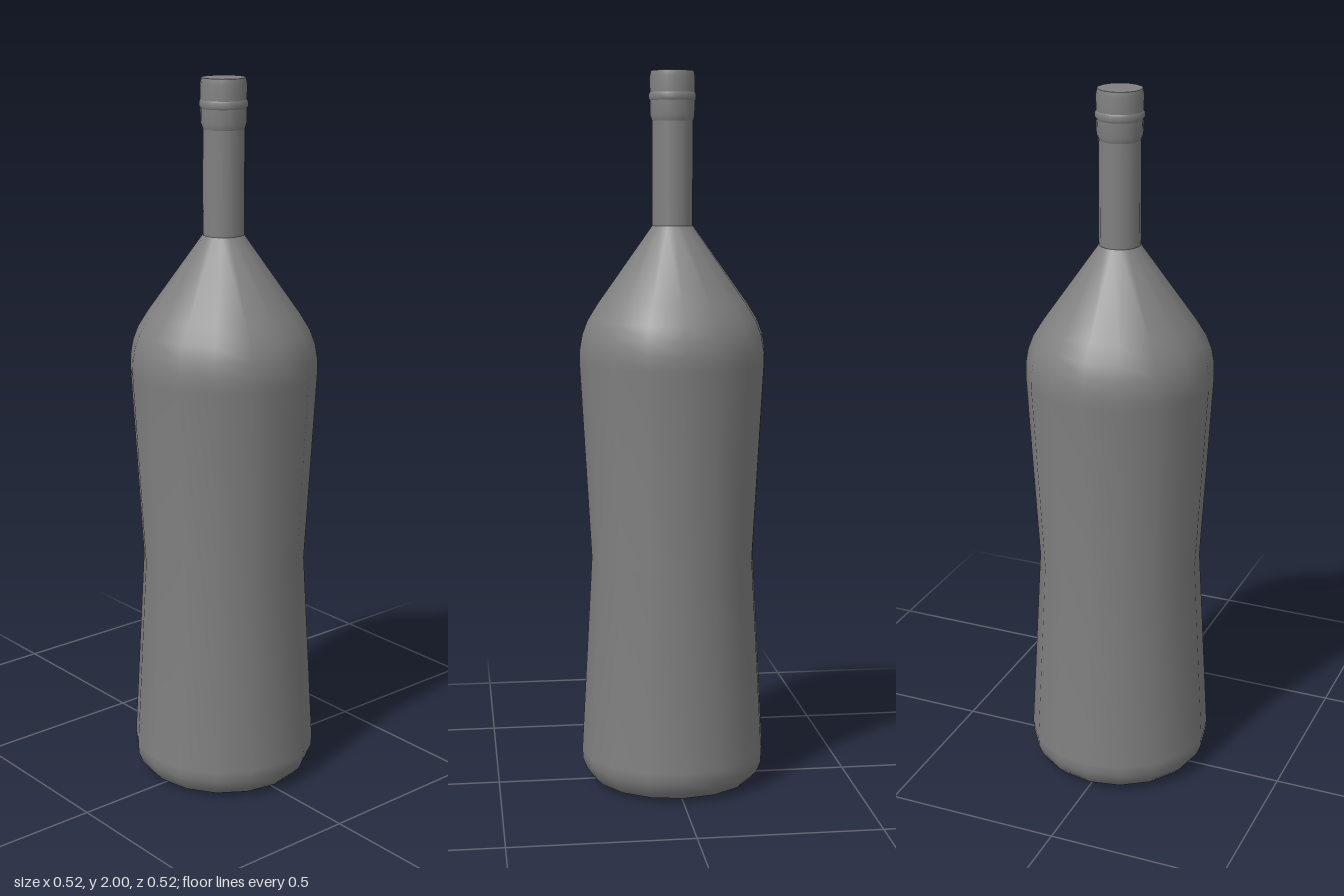
import * as THREE from 'three';

const SIDES = 16;
const material = new THREE.MeshStandardMaterial({ color: 0x808080 });

// Turned part from [radius, height] pairs, listed bottom to top
function turned(name, profile) {
  const points = profile.map(([r, y]) => new THREE.Vector2(r, y));
  const mesh = new THREE.Mesh(new THREE.LatheGeometry(points, SIDES), material);
  mesh.name = name;
  return mesh;
}

export function createModel() {
  const bottle = new THREE.Group();
  bottle.name = 'bottle';

  bottle.add(
    // Flat underside blending into a rounded foot, pinched waist and curved shoulder
    turned('body', [
      [0, 0], [0.2, 0], [0.228, 0.01], [0.247, 0.03], [0.259, 0.06], [0.261, 0.09],
      [0.23, 0.65],
      [0.261, 1.2], [0.26, 1.24], [0.253, 1.28], [0.238, 1.32], [0.21, 1.365],
      [0.057, 1.58],
    ]),
    // Straight neck
    turned('neck', [[0.057, 1.58], [0.057, 1.865]]),
    // Collar stepping out from the neck
    turned('collar', [[0.057, 1.865], [0.062, 1.88], [0.063, 1.92]]),
    // Thin raised ring
    turned('neckRing', [[0.063, 1.92], [0.066, 1.925], [0.066, 1.937], [0.063, 1.942]]),
    // Lip with a softened rim
    turned('lip', [[0.063, 1.942], [0.063, 1.985], [0.06, 2]]),
    // Closed top
    turned('cap', [[0.06, 2], [0, 2]]),
  );
  return bottle;
}
